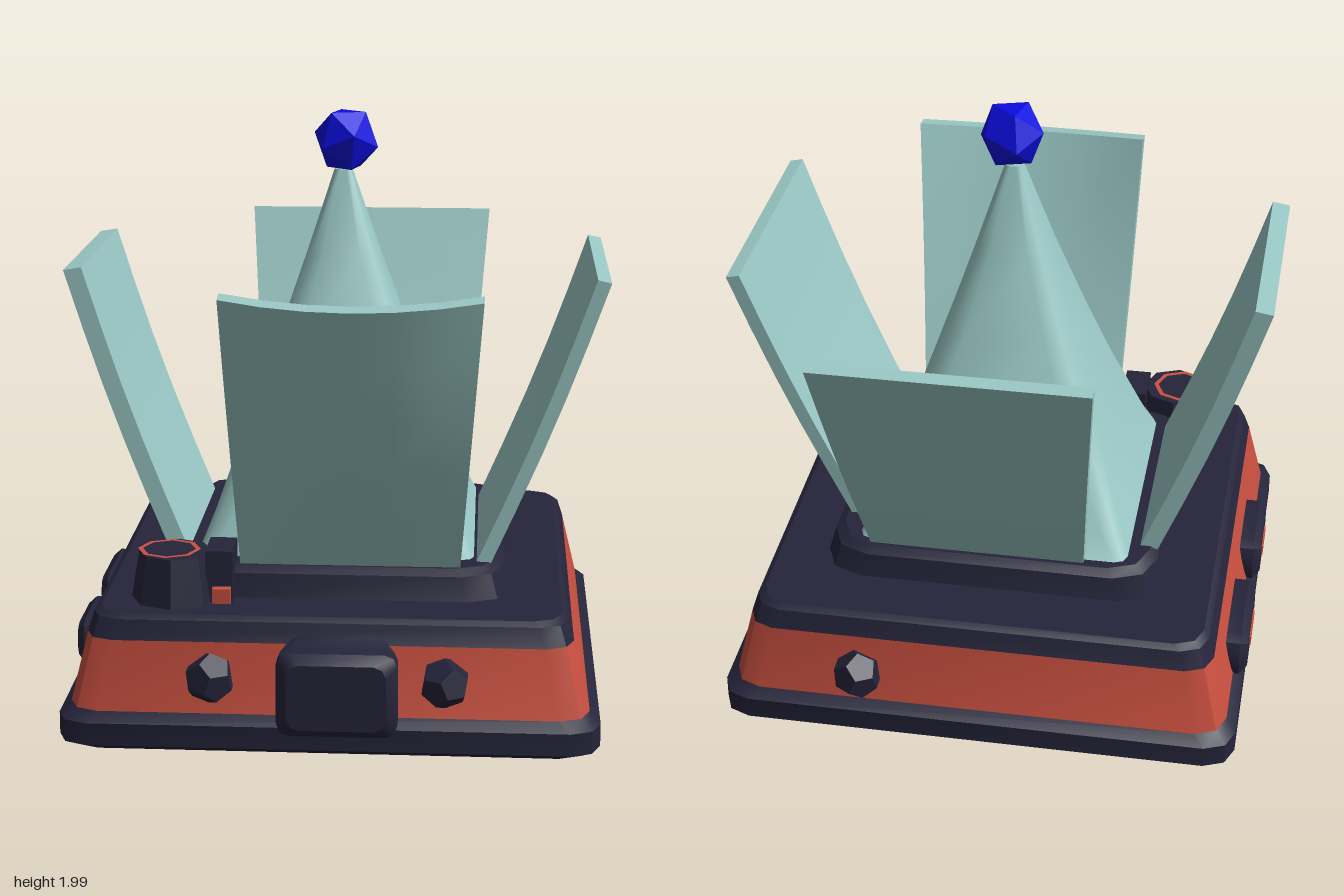
import * as THREE from 'three';
import { toCreasedNormals } from 'three/addons/utils/BufferGeometryUtils.js';

const dark = new THREE.MeshStandardMaterial({ color: 0x25243a });
dark.name = 'dark navy';
const red = new THREE.MeshStandardMaterial({ color: 0xca5040 });
red.name = 'brick red';
const pale = new THREE.MeshStandardMaterial({ color: 0x9ac8c5 });
pale.name = 'pale teal';
const blue = new THREE.MeshStandardMaterial({ color: 0x0c0ce0 });
blue.name = 'bright blue';

// Skin a stack of rings (each counter-clockwise from above) and cap both ends.
function loft(rings, crease = 0.5) {
  const n = rings[0].length;
  const pos = rings.flat(2);
  const index = [];
  for (let i = 0; i < rings.length - 1; i++) {
    for (let j = 0; j < n; j++) {
      const k = (j + 1) % n, a = i * n, b = a + n;
      index.push(a + j, a + k, b + k, a + j, b + k, b + j);
    }
  }
  const last = (rings.length - 1) * n;
  // Caps are strips, so thin bowed sections close cleanly.
  for (let lo = 0, hi = n - 1; hi - lo > 1; lo++, hi--) {
    for (const [o, flip] of [[0, true], [last, false]]) {
      const tris = [[lo, lo + 1, hi - 1], [lo, hi - 1, hi]];
      for (const [a, b, c] of tris) {
        if (b === c) continue;
        index.push(o + a, o + (flip ? c : b), o + (flip ? b : c));
      }
    }
  }
  const g = new THREE.BufferGeometry();
  g.setAttribute('position', new THREE.Float32BufferAttribute(pos, 3));
  g.setIndex(index);
  return toCreasedNormals(g, crease);
}

// Rectangle with rounded corners at height y.
function roundRect(hx, hz, r, y, zc = 0) {
  const pts = [];
  for (let q = 0; q < 4; q++) {
    const sx = q === 0 || q === 3 ? 1 : -1, sz = q < 2 ? -1 : 1;
    for (let k = 0; k < 3; k++) {
      const t = (q + k / 2) * Math.PI / 2;
      pts.push([sx * (hx - r) + r * Math.cos(t), y, zc + sz * (hz - r) - r * Math.sin(t)]);
    }
  }
  return pts;
}

// Slab leaning outwards: base and top give [left, right, outward, height].
function petal(base, top, thick, bow, sag) {
  const rings = [], cols = 6, rows = 5;
  for (let i = 0; i <= rows; i++) {
    const t = i / rows;
    const [l, r, w, h] = base.map((v, k) => THREE.MathUtils.lerp(v, top[k], t));
    const outer = [], inner = [];
    for (let j = 0; j <= cols; j++) {
      const s = j / cols, arch = 1 - (2 * s - 1) ** 2;
      const x = l + (r - l) * s;
      const z = w + bow * arch * t + 0.015 * Math.sin(Math.PI * t);
      const y = h - sag * arch * t;
      outer.push([x, y, z]);
      inner.unshift([x, y + 0.01, z - thick]);
    }
    rings.push([...outer, ...inner]);
  }
  return loft(rings, 0.7);
}

export function createModel() {
  const model = new THREE.Group();
  model.name = 'petalPavilion';
  const add = (name, geometry, material, x = 0, y = 0, z = 0, parent = model) => {
    const m = new THREE.Mesh(geometry, material);
    m.name = name;
    m.position.set(x, y, z);
    parent.add(m);
    return m;
  };

  // Stepped base
  add('baseFoot', loft([
    roundRect(0.85, 0.84, 0.1, 0, 0.01), roundRect(0.885, 0.88, 0.1, 0.025, 0.01),
    roundRect(0.885, 0.88, 0.1, 0.1, 0.01), roundRect(0.85, 0.845, 0.1, 0.13, 0.01)]), dark);
  add('baseBand', loft([
    roundRect(0.85, 0.845, 0.1, 0.13, 0.01), roundRect(0.795, 0.805, 0.09, 0.36, 0.01)]), red);
  add('baseShoulder', loft([
    roundRect(0.795, 0.805, 0.09, 0.36, 0.01), roundRect(0.775, 0.785, 0.09, 0.425, 0.01),
    roundRect(0.755, 0.765, 0.09, 0.44, 0.01)]), dark);
  add('platform', loft([
    roundRect(0.59, 0.58, 0.14, 0.43, 0.02), roundRect(0.565, 0.56, 0.14, 0.52, 0.02),
    roundRect(0.535, 0.53, 0.13, 0.54, 0.02)]), dark);

  // Tapering spire
  add('spire', loft([
    roundRect(0.47, 0.47, 0.04, 0.53, -0.01), roundRect(0.43, 0.43, 0.06, 0.62),
    roundRect(0.325, 0.325, 0.09, 0.92), roundRect(0.22, 0.22, 0.08, 1.22),
    roundRect(0.125, 0.125, 0.06, 1.5), roundRect(0.03, 0.03, 0.02, 1.79)], 1), pale);

  // Faceted ball on the tip
  const ball = new THREE.IcosahedronGeometry(0.118, 0);
  ball.rotateX(0.36);
  ball.rotateY(0.3);
  add('finial', ball, blue, 0.01, 1.89, 0.01).scale.set(0.97, 1.02, 0.95);

  // Four leaning petals: [name, turn, base, top, thickness, bow, sag]
  const petals = [
    ['frontPetal', 0, [-0.31, 0.42, 0.53, 0.52], [-0.34, 0.49, 0.87, 1.5], 0.06, 0.06, 0.025],
    ['leftPetal', Math.PI / 2, [-0.47, 0.33, 0.52, 0.53], [-0.47, 0.4, 0.9, 1.49], 0.045, 0, 0],
    ['backPetal', Math.PI, [-0.42, 0.32, 0.49, 0.53], [-0.5, 0.4, 0.955, 1.5], 0.045, 0, 0],
    ['rightPetal', -Math.PI / 2, [-0.36, 0.4, 0.56, 0.53], [-0.37, 0.4, 0.905, 1.5], 0.06, 0, 0],
  ];
  for (const [name, turn, ...shape] of petals) {
    add(name, petal(...shape), pale).rotation.y = turn;
  }

  // Front panel and round studs
  const panel = loft([
    roundRect(0.16, 0.165, 0.04, 0), roundRect(0.195, 0.14, 0.04, 0.05),
    roundRect(0.195, 0.14, 0.04, 0.11), roundRect(0.16, 0.11, 0.04, 0.14)]);
  panel.rotateX(Math.PI / 2);
  add('frontPanel', panel, dark, 0.035, 0.225, 0.81);
  const studs = [[-0.38, 0.25, 0.85], [0.38, 0.25, 0.85], [0.4, 0.24, -0.84]];
  for (const [x, y, z] of studs) {
    const stud = new THREE.DodecahedronGeometry(0.085, 0);
    stud.rotateZ(x);
    add('stud', stud, dark, x, y, z);
  }

  // Pair of side plates with red insets
  const sidePlates = new THREE.Group();
  sidePlates.name = 'sidePlates';
  model.add(sidePlates);
  for (const [z, hw] of [[-0.3, 0.2], [0.23, 0.17]]) {
    const plate = loft([roundRect(0.08, hw, 0.05, 0), roundRect(0.08, hw, 0.05, 0.05),
      roundRect(0.06, hw - 0.03, 0.04, 0.075)]);
    plate.rotateZ(Math.PI / 2);
    add('sidePlate', plate, dark, -0.82, 0.19, z, sidePlates);
    add('plateInset', new THREE.BoxGeometry(0.008, 0.035, hw * 0.8), red, -0.896, 0.19, z, sidePlates);
  }

  // Eight-sided dial and block at the front corner
  const dial = new THREE.CylinderGeometry(0.12, 0.15, 0.17, 8).toNonIndexed();
  dial.computeVertexNormals();
  add('dial', dial, dark, -0.52, 0.515, 0.59);
  const ring = new THREE.RingGeometry(0.088, 0.105, 8);
  ring.rotateX(-Math.PI / 2);
  add('dialRing', ring, red, -0.54, 0.604, 0.59);
  add('dialBlock', new THREE.BoxGeometry(0.09, 0.19, 0.16), dark, -0.37, 0.52, 0.57);
  add('dialButton', new THREE.BoxGeometry(0.06, 0.05, 0.06), red, -0.36, 0.47, 0.65);

  return model;
}
